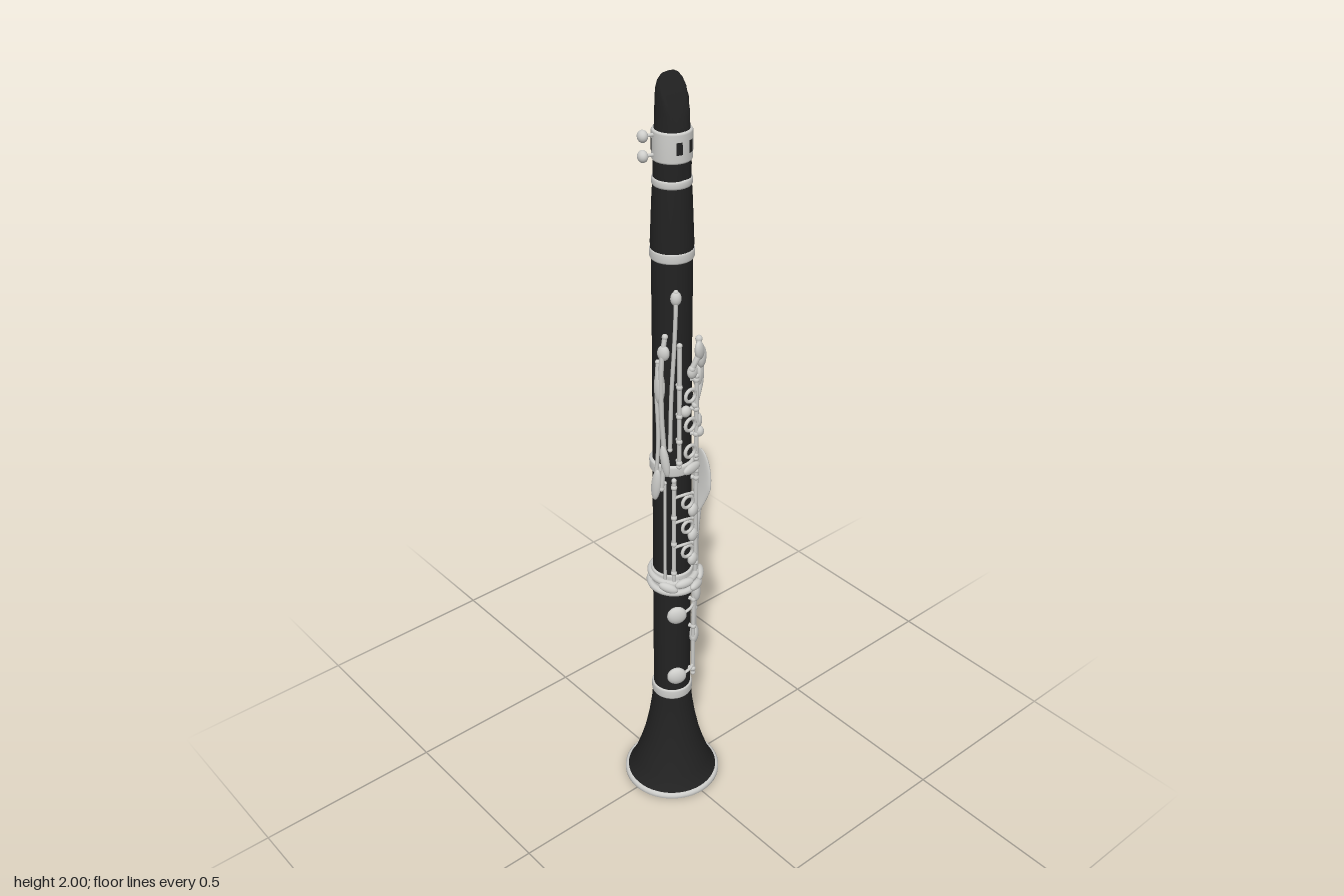
import * as THREE from 'three';

const black = new THREE.MeshStandardMaterial({ color: 0x222222 });
black.name = 'black wood';
const silver = new THREE.MeshStandardMaterial({ color: 0xcdcdca });
silver.name = 'silver metal';

const rad = THREE.MathUtils.degToRad;
// Point on the instrument: angle from the front towards +x, height, distance from the axis
const at = (a, y, r) => new THREE.Vector3(r * Math.sin(rad(a)), y, r * Math.cos(rad(a)));

export function createModel() {
  const group = new THREE.Group();
  group.name = 'clarinet';

  function add(name, geometry, material = silver) {
    const mesh = new THREE.Mesh(geometry, material);
    mesh.name = name;
    group.add(mesh);
    return mesh;
  }
  function lathe(name, pts, material) {
    return add(name, new THREE.LatheGeometry(pts.map(p => new THREE.Vector2(...p)), 48), material);
  }
  // Metal band with softly rounded edges
  function band(name, y0, y1, r, material = silver) {
    return lathe(name, [[r - 0.008, y0], [r - 0.002, y0 + 0.001], [r, y0 + 0.005],
      [r, y1 - 0.005], [r - 0.002, y1 - 0.001], [r - 0.008, y1]], material);
  }
  function place(mesh, a, y, r, tilt = 0) {
    mesh.position.copy(at(a, y, r));
    mesh.rotation.set(0, rad(a), rad(tilt), 'YXZ');
    return mesh;
  }
  // Domed pad or touchpiece facing outwards
  function pad(name, a, y, r, w, h, d = 0.011, tilt = 0) {
    const geo = new THREE.SphereGeometry(1, 20, 14).scale(w, h, d);
    return place(add(name, geo), a, y, r, tilt);
  }
  // Open finger ring around a tone hole
  function ring(a, y, r = 0.062) {
    place(add('fingerRing', new THREE.TorusGeometry(0.016, 0.0045, 8, 24)), a, y, r);
    const hole = place(add('toneHole', new THREE.CylinderGeometry(0.011, 0.011, 0.014, 20), black), a, y, r - 0.009);
    hole.rotation.x = Math.PI / 2;
  }
  // Rod or lever through [angle, height, distance] points
  function rod(name, pts, r = 0.005) {
    const curve = new THREE.CatmullRomCurve3(pts.map(p => at(...p)));
    add(name, new THREE.TubeGeometry(curve, 8 * pts.length, r, 8));
    for (const p of [pts[0], pts[pts.length - 1]])
      add(name + 'End', new THREE.SphereGeometry(r * 1.25, 10, 8)).position.copy(at(...p));
  }
  // Post holding a rod to the body
  function post(a, y, r = 0.061) {
    const stem = place(add('post', new THREE.CylinderGeometry(0.0045, 0.006, 0.018, 10)), a, y, r - 0.009);
    stem.rotation.x = Math.PI / 2;
    place(add('postBall', new THREE.SphereGeometry(0.008, 12, 8)), a, y, r);
  }

  // Body joints and barrel
  lathe('lowerJoint', [[0.049, 0.3], [0.049, 0.68], [0.048, 1.03]], black);
  lathe('upperJoint', [[0.048, 1.02], [0.047, 1.3], [0.048, 1.59]], black);
  lathe('barrel', [[0.05, 1.59], [0.05, 1.62], [0.046, 1.72], [0.043, 1.77]], black);

  // Hollow flared bell
  const flare = [[0.124, 0.014], [0.114, 0.03], [0.103, 0.055], [0.088, 0.1], [0.075, 0.145],
    [0.063, 0.205], [0.055, 0.26], [0.05, 0.32]];
  lathe('bell', flare, black);
  lathe('bellInside', [[0, 0.315], [0.04, 0.31], ...flare.slice(0, -1).reverse().map(([r, y]) => [r - 0.007, y])], black);
  lathe('bellRim', [[0.117, 0.014], [0.121, 0.002], [0.127, 0], [0.131, 0.004], [0.131, 0.012], [0.127, 0.017], [0.122, 0.017]]);

  // Mouthpiece with a beak sloping down to the front
  const beak = new THREE.LatheGeometry([[0.043, 1.76], [0.043, 1.8], [0.041, 1.86], [0.039, 1.89], [0.038, 1.92],
    [0.0375, 1.945], [0.036, 1.965], [0.032, 1.982], [0.024, 1.994], [0.014, 1.999], [0, 2]]
    .map(p => new THREE.Vector2(...p)), 48);
  const pos = beak.attributes.position;
  for (let i = 0; i < pos.count; i++) {
    const t = Math.max(0, (pos.getY(i) - 1.88) / 0.12);
    pos.setZ(i, Math.min(pos.getZ(i), 0.041 - 0.053 * Math.pow(t, 1.2)));
  }
  beak.computeVertexNormals();
  add('mouthpiece', beak, black);

  // Metal bands
  band('bellBand', 0.298, 0.328, 0.054);
  band('barrelLowerBand', 1.578, 1.604, 0.052);
  band('barrelUpperBand', 1.752, 1.772, 0.046);
  band('middleBand', 1.015, 1.045, 0.056);
  band('lowerJointBand', 0.66, 0.715, 0.055);

  // Ligature with cut-out windows and two screws
  band('ligature', 1.81, 1.88, 0.046);
  for (const [a, w] of [[-20, 18], [22, 18], [65, 26], [115, 26], [180, 46], [-125, 24]]) {
    add('ligatureWindow', new THREE.CylinderGeometry(0.0462, 0.0467, 0.028, 8, 1, true, rad(a - w / 2), rad(w)), black)
      .position.y = 1.846;
  }
  for (const y of [1.825, 1.87]) {
    rod('ligatureScrew', [[-105, y, 0.042], [-105, y, 0.066]], 0.004);
    pad('ligatureScrewHead', -105, y, 0.07, 0.014, 0.014, 0.012);
  }

  // Register key and upper left levers
  rod('registerKey', [[-32, 1.515, 0.058], [-33, 1.47, 0.063], [-36, 1.38, 0.064], [-42, 1.25, 0.063], [-45, 1.1, 0.062]]);
  pad('registerPad', -32, 1.5, 0.058, 0.013, 0.018);
  rod('trillLever', [[-58, 1.4, 0.055], [-62, 1.34, 0.066], [-62, 1.2, 0.068], [-58, 1.08, 0.064], [-62, 0.99, 0.07]], 0.006);
  rod('sideLever', [[-78, 1.33, 0.055], [-76, 1.26, 0.063], [-72, 1.12, 0.063], [-78, 1, 0.066]], 0.005);
  pad('trillPad', -60, 1.36, 0.06, 0.015, 0.02);
  pad('sidePad', -68, 1.27, 0.064, 0.014, 0.045, 0.01);
  pad('sideTouch', -55, 1.07, 0.068, 0.011, 0.045, 0.009, 8);
  pad('sideTouch', -72, 1.0, 0.074, 0.013, 0.045, 0.009, -6);

  // Throat keys
  rod('throatLever', [[8, 1.31, 0.062], [20, 1.35, 0.072], [30, 1.38, 0.066]], 0.007);
  rod('throatLever', [[30, 1.2, 0.058], [42, 1.26, 0.068], [36, 1.34, 0.07]], 0.007);
  pad('throatTouch', 22, 1.355, 0.072, 0.016, 0.026, 0.01, 15);
  pad('throatTouch', 38, 1.33, 0.07, 0.016, 0.03, 0.012);
  pad('throatPad', 58, 1.275, 0.061, 0.032, 0.043, 0.013, 10);
  pad('throatPad', 12, 1.3, 0.06, 0.015, 0.018);

  // Upper stack with finger rings
  for (const y of [1.24, 1.16, 1.085]) ring(4, y);
  rod('upperStackRod', [[30, 1.28, 0.062], [30, 1.05, 0.062]], 0.0055);
  rod('upperStackRod', [[-24, 1.38, 0.061], [-24, 1.05, 0.061]], 0.0055);
  for (const y of [1.27, 1.19, 1.12, 1.06]) { post(30, y); post(-24, y); }
  pad('upperPad', 44, 1.15, 0.062, 0.018, 0.02);
  pad('upperPad', 36, 1.125, 0.068, 0.012, 0.014);
  pad('upperPad', -8, 1.2, 0.06, 0.014, 0.015);
  pad('bridgeKey', 8, 1.035, 0.064, 0.03, 0.014, 0.009);

  // Thumb ring on the back
  place(add('thumbRing', new THREE.TorusGeometry(0.012, 0.003, 8, 20)), 180, 1.18, 0.049);

  // Lower stack with finger rings, pads and cross arms
  for (const y of [0.94, 0.865, 0.79]) {
    ring(-2, y);
    pad('lowerPad', 18, y - 0.035, 0.061, 0.017, 0.018);
    rod('crossArm', [[-34, y + 0.02, 0.061], [-12, y + 0.028, 0.066], [12, y + 0.02, 0.063]], 0.004);
  }
  rod('lowerStackRod', [[-36, 1.01, 0.061], [-36, 0.7, 0.061]], 0.0055);
  rod('lowerStackRod', [[36, 1.01, 0.061], [36, 0.7, 0.061]], 0.0055);
  rod('longSideRod', [[-58, 1.0, 0.058], [-58, 0.68, 0.058]], 0.004);
  for (const y of [0.99, 0.9, 0.82, 0.73]) { post(-36, y); post(36, y); }

  // Large left-hand paddle: flattened drop tapering into its lever
  const paddle = new THREE.SphereGeometry(1, 24, 24).scale(0.04, 0.1, 0.01);
  const pp = paddle.attributes.position;
  for (let i = 0; i < pp.count; i++) {
    const t = pp.getY(i) / 0.1;
    pp.setX(i, pp.getX(i) * (t < 0 ? 1 + 0.62 * t : 1));
    pp.setZ(i, pp.getZ(i) - 0.012 * t * t);
  }
  paddle.computeVertexNormals();
  const blade = place(add('paddle', paddle), 82, 0.935, 0.088);
  blade.rotation.x = rad(6);
  rod('paddleLever', [[80, 0.87, 0.079], [75, 0.8, 0.069], [70, 0.72, 0.064], [60, 0.62, 0.06], [52, 0.57, 0.058]], 0.0075);
  rod('paddleLever', [[58, 0.97, 0.06], [60, 0.85, 0.061], [52, 0.7, 0.064]], 0.005);

  // Little-finger key cluster wrapping the lower band
  const hoop = (y, r, t, tilt) => {
    const m = add('clusterHoop', new THREE.TorusGeometry(r, t, 10, 48));
    m.position.set(0, y, 0.005);
    m.rotation.x = Math.PI / 2 + tilt;
  };
  hoop(0.7, 0.058, 0.009, 0.06);
  hoop(0.67, 0.06, 0.009, 0.04);
  for (const [a, y, tilt] of [[-48, 0.69, 70], [-14, 0.7, 95], [20, 0.675, 85], [48, 0.69, 100]])
    pad('fingerTouch', a, y, 0.071, 0.013, 0.026, 0.011, tilt);
  pad('fingerTouch', 32, 0.64, 0.066, 0.014, 0.03);

  // Lower rods and closed pads
  rod('footRod', [[25, 0.66, 0.062], [25, 0.5, 0.061], [26, 0.37, 0.061]], 0.0055);
  rod('footRod', [[45, 0.66, 0.06], [46, 0.56, 0.06], [46, 0.47, 0.06]], 0.005);
  for (const y of [0.62, 0.53, 0.385]) post(25, y);
  for (const [a, y] of [[-28, 0.59], [44, 0.49], [-28, 0.385]]) {
    pad('footPad', a, y, 0.058, 0.026, 0.026, 0.013);
    rod('footPadArm', [[a, y, 0.066], [a * 0.3 + 16, y + 0.012, 0.063], [25, y + 0.015, 0.061]], 0.004);
  }
  return group;
}
